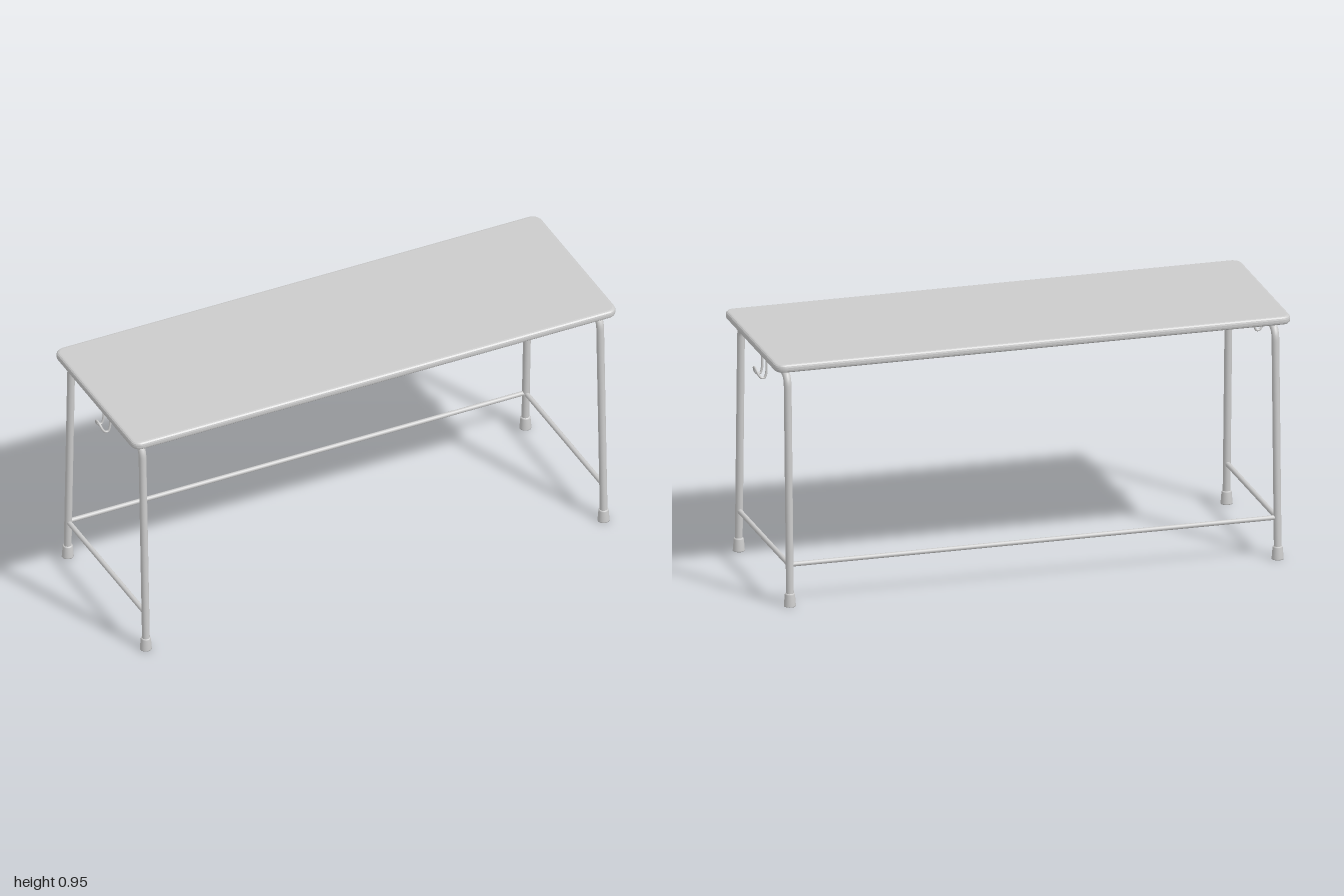
import * as THREE from 'three';

const material = new THREE.MeshStandardMaterial({ color: 0xcccccc });
const v = (x, y, z) => new THREE.Vector3(x, y, z);

function addMesh(parent, name, geometry) {
  const mesh = new THREE.Mesh(geometry, material);
  mesh.name = name;
  parent.add(mesh);
  return mesh;
}

// Round bar between two points
function addBar(parent, name, a, b, radius) {
  const bar = addMesh(parent, name, new THREE.CylinderGeometry(radius, radius, a.distanceTo(b), 16));
  bar.position.copy(a).lerp(b, 0.5);
  bar.quaternion.setFromUnitVectors(v(0, 1, 0), b.clone().sub(a).normalize());
}

// Rounded slab with a soft edge all round
function tabletop() {
  const edge = 0.012, w = 1 - edge, d = 0.3455 - edge, r = 0.026;
  const s = new THREE.Shape();
  s.moveTo(-w + r, -d);
  s.absarc(w - r, -d + r, r, -Math.PI / 2, 0);
  s.absarc(w - r, d - r, r, 0, Math.PI / 2);
  s.absarc(-w + r, d - r, r, Math.PI / 2, Math.PI);
  s.absarc(-w + r, -d + r, r, Math.PI, Math.PI * 1.5);
  const g = new THREE.ExtrudeGeometry(s, {
    depth: 0.008, bevelThickness: 0.012, bevelSize: edge, bevelSegments: 3, curveSegments: 6,
  });
  return g.rotateX(-Math.PI / 2).translate(0, 0.929, 0.003);
}

// Bent tube forming two splayed legs and the rail under the top
function legFrame(x) {
  const path = new THREE.CurvePath();
  const foot = v(x, 0.01, 0.333), bend = v(x, 0.85, 0.3025), corner = v(x, 0.898, 0.3005), rail = v(x, 0.898, 0.253);
  const back = (p) => v(p.x, p.y, -p.z);
  path.add(new THREE.LineCurve3(foot, bend));
  path.add(new THREE.QuadraticBezierCurve3(bend, corner, rail));
  path.add(new THREE.LineCurve3(rail, back(rail)));
  path.add(new THREE.QuadraticBezierCurve3(back(rail), back(corner), back(bend)));
  path.add(new THREE.LineCurve3(back(bend), back(foot)));
  return new THREE.TubeGeometry(path, 200, 0.0145, 16);
}

// Wire bag hook: two drops that turn outward and join in an arch
function hook(x, side) {
  const half = [
    [0, 0.89, 0.028], [0, 0.85, 0.028], [0.001, 0.815, 0.028], [0.008, 0.797, 0.028],
    [0.02, 0.797, 0.027], [0.03, 0.809, 0.025], [0.035, 0.823, 0.018], [0.037, 0.829, 0.009],
  ].map(([o, y, z]) => v(x + side * o, y, z));
  const other = half.map((p) => v(p.x, p.y, -p.z)).reverse();
  const curve = new THREE.CatmullRomCurve3([...half, v(x + side * 0.037, 0.83, 0), ...other]);
  return new THREE.TubeGeometry(curve, 80, 0.0045, 10);
}

export function createModel() {
  const table = new THREE.Group();
  table.name = 'table';
  addMesh(table, 'tabletop', tabletop());

  // Rubber foot profile
  const footProfile = [[0, 0], [0.0225, 0], [0.0225, 0.003], [0.019, 0.046], [0.017, 0.05], [0.012, 0.051]]
    .map(([r, y]) => new THREE.Vector2(r, y));

  for (const side of [-1, 1]) {
    const x = side * 0.945;
    const end = new THREE.Group();
    end.name = side > 0 ? 'leftEnd' : 'rightEnd';
    addMesh(end, 'legFrame', legFrame(x));
    addBar(end, 'sideStretcher', v(x, 0.158, -0.326), v(x, 0.158, 0.326), 0.0095);
    addMesh(end, 'bagHook', hook(x, side));
    for (const z of [-0.331, 0.331]) {
      addMesh(end, 'foot', new THREE.LatheGeometry(footProfile, 20)).position.set(x, 0, z);
    }
    table.add(end);
  }

  // Long stretcher between the back legs
  addBar(table, 'backStretcher', v(-0.945, 0.161, -0.327), v(0.945, 0.161, -0.327), 0.009);
  return table;
}
